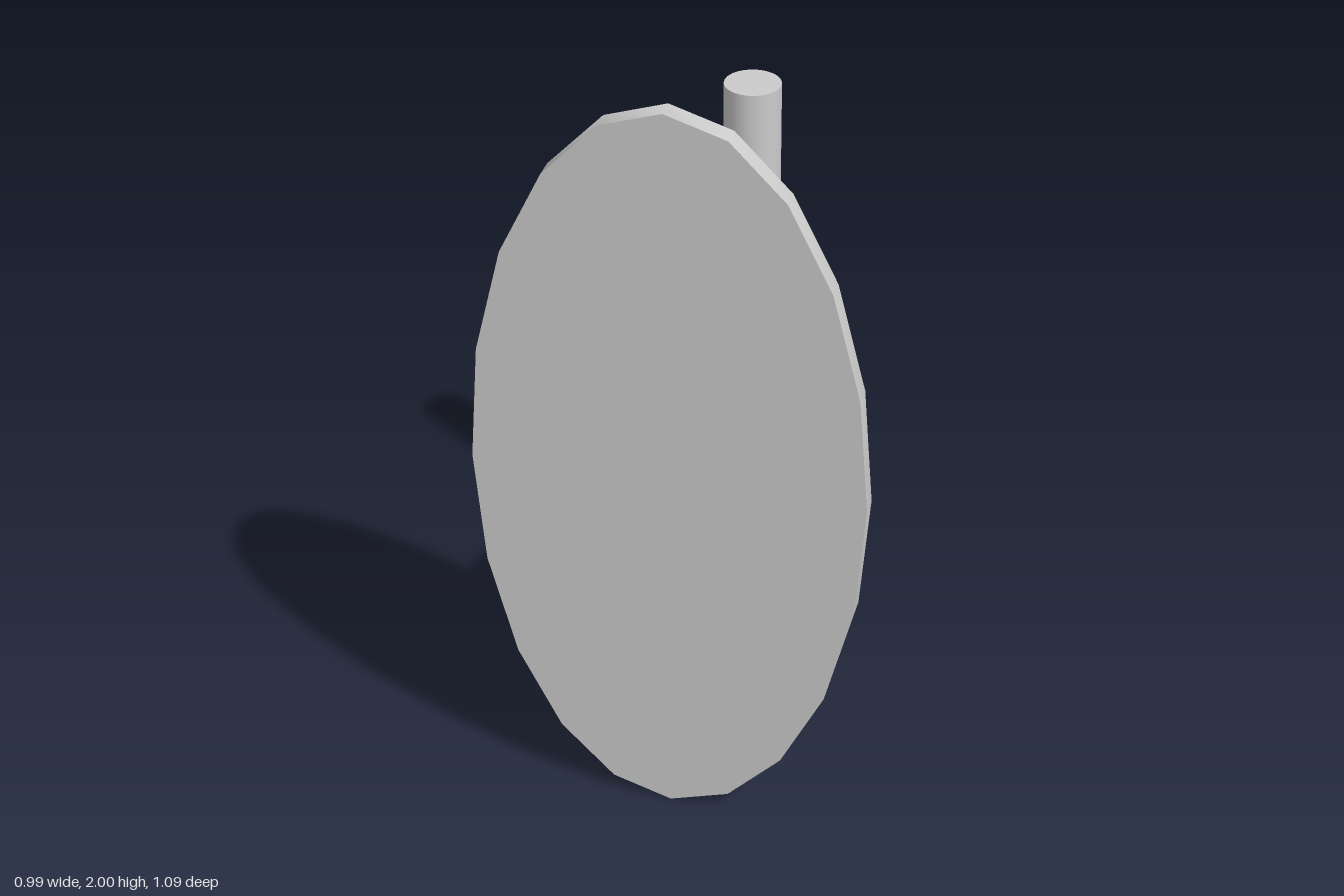
import * as THREE from 'three';
import { toCreasedNormals } from 'three/addons/utils/BufferGeometryUtils.js';

const material = new THREE.MeshStandardMaterial({ color: 0xcccccc, side: THREE.DoubleSide });
const CANDLE_Z = -0.31;

function lathe(profile, sides) {
  return new THREE.LatheGeometry(profile.map(([r, y]) => new THREE.Vector2(r, y)), sides);
}

// Oval back plate: rings of [half width, half height, z], from the wall outwards
function ovalPlate(rings) {
  const geo = lathe(rings.map(([rx, , z]) => [rx, -z]), 20);
  geo.rotateX(-Math.PI / 2);
  const pos = geo.attributes.position;
  for (let i = 0; i < pos.count; i++) {
    const [rx, ry] = rings[i % rings.length];
    if (rx > 0) pos.setY(i, pos.getY(i) * ry / rx);
  }
  geo.translate(0, 1, 0);
  return geo;
}

// Curve that puts one tube ring on each listed [z, y] point
class RingPath extends THREE.Curve {
  constructor(points) {
    super();
    this.points = points.map(([z, y]) => new THREE.Vector3(0, y, z));
  }
  index(u) { return Math.round(u * (this.points.length - 1)); }
  getPoint(u, target = new THREE.Vector3()) { return target.copy(this.points[this.index(u)]); }
  getPointAt(u, target) { return this.getPoint(u, target); }
  getTangentAt(u, target = new THREE.Vector3()) {
    const p = this.points, i = this.index(u);
    const before = new THREE.Vector3(), after = new THREE.Vector3();
    if (i > 0) before.subVectors(p[i], p[i - 1]).normalize();
    if (i < p.length - 1) after.subVectors(p[i + 1], p[i]).normalize();
    return target.addVectors(before, after).normalize();
  }
}

export function createModel() {
  const model = new THREE.Group();
  model.name = 'wallCandleSconce';
  const add = (name, geometry, z = 0) => {
    const mesh = new THREE.Mesh(geometry, material);
    mesh.name = name;
    mesh.position.z = z;
    model.add(mesh);
  };

  // Stepped oval plate
  add('backPlate', toCreasedNormals(ovalPlate([
    [0, 0, 0.54], [0.493, 1, 0.54], [0.493, 1, 0.487], [0.335, 0.63, 0.465],
    [0.295, 0.54, 0.4], [0.083, 0.095, 0.381], [0, 0, 0.381],
  ]), 0.7));

  // Flared boss where the arm meets the plate
  add('armBoss', toCreasedNormals(ovalPlate([
    [0.083, 0.095, 0.383], [0.06, 0.065, 0.358], [0.042, 0.045, 0.335], [0, 0, 0.33],
  ]), 0.7));

  // Scrolled arm, starting at the pointed tip of the curl
  const path = new RingPath([
    [0.16, 1.02], [0.164, 0.95], [0.233, 0.904], [0.292, 0.944], [0.306, 1.013],
    [0.276, 1.08], [0.202, 1.107], [0.122, 1.077], [0.069, 1.003], [0.053, 0.907],
    [0.037, 0.6], [0.016, 0.44], [-0.037, 0.334], [-0.095, 0.281], [-0.186, 0.281],
    [-0.26, 0.345], [-0.302, 0.467], [-0.308, 0.56],
  ]);
  const sides = 12;
  const arm = new THREE.TubeGeometry(path, path.points.length - 1, 0.042, sides);
  for (let i = 0; i <= sides; i++) arm.attributes.position.setXYZ(i, 0, 1.02, 0.16);
  add('scrollArm', arm);

  // Eight-sided drip pan
  add('dripPan', toCreasedNormals(lathe([
    [0, 0.52], [0.042, 0.52], [0.235, 0.602], [0, 0.602],
  ], 8), 0.5), CANDLE_Z);

  // Eight-sided socket with a flared cup
  add('candleSocket', toCreasedNormals(lathe([
    [0.075, 0.6], [0.08, 0.615], [0.07, 0.63], [0.07, 0.65], [0.085, 0.66], [0.085, 0.69],
    [0.09, 0.7], [0.09, 0.795], [0.08, 0.812], [0.105, 0.812], [0.155, 0.875],
    [0.105, 0.822], [0.07, 0.815],
  ], 8), 0.5), CANDLE_Z);

  // Candle
  const candle = new THREE.CylinderGeometry(0.074, 0.074, 0.98, 24);
  candle.translate(0, 1.17, 0);
  add('candle', candle, CANDLE_Z);

  return model;
}
